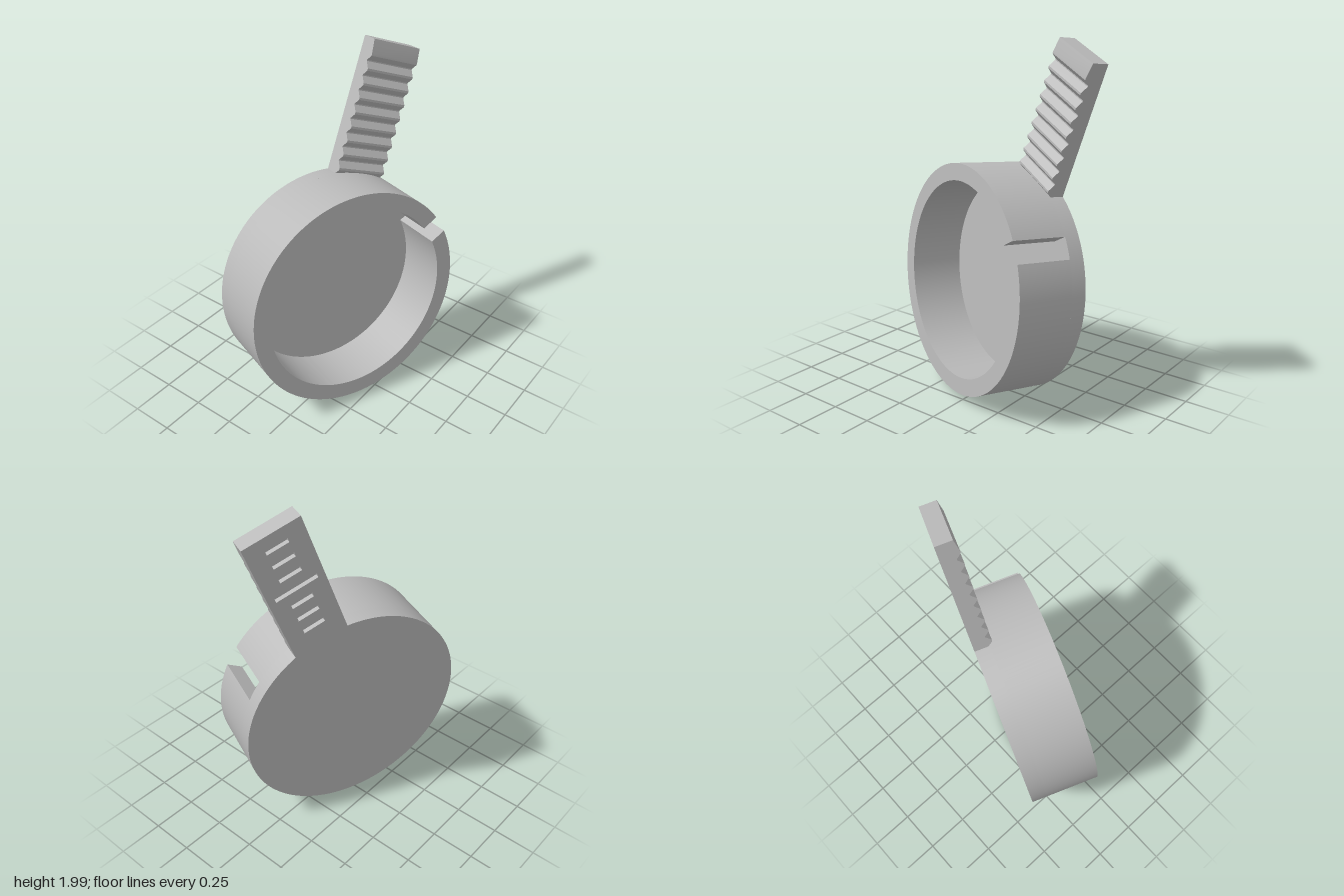
import * as THREE from 'three';
import { toCreasedNormals } from 'three/addons/utils/BufferGeometryUtils.js';

const R = 0.645, R_IN = 0.55, FLOOR = 0.085, DEPTH = 0.4;
const WIDTH = 0.312, TOP = 1.382;

const extrude = (shape, depth) => toCreasedNormals(
  new THREE.ExtrudeGeometry(shape, { depth, bevelEnabled: false, curveSegments: 96 }), 0.5);

export function createModel() {
  const grey = new THREE.MeshStandardMaterial({ color: 0xbababa });
  grey.name = 'grey';
  const model = new THREE.Group();
  const cup = new THREE.Group();
  cup.name = 'cupWithHandle';
  model.add(cup);

  const add = (name, geometry, z = 0) => {
    const mesh = new THREE.Mesh(geometry, grey);
    mesh.name = name;
    mesh.position.z = z;
    cup.add(mesh);
    return mesh;
  };

  // Closed round floor
  const disc = new THREE.Shape();
  disc.absarc(0, 0, R, 0, Math.PI * 2);
  add('cupFloor', extrude(disc, FLOOR));

  // Ring wall, cut by a parallel-sided notch down to the floor
  const notch = 0.862, half = 0.06, turn = Math.PI * 2;
  const a = Math.asin(half / R), b = Math.asin(half / R_IN);
  const ring = new THREE.Shape();
  ring.absarc(0, 0, R, notch + a, notch + turn - a, false);
  ring.absarc(0, 0, R_IN, notch + turn - b, notch + b, true);
  ring.closePath();
  add('cupWall', extrude(ring, DEPTH - FLOOR), FLOOR);

  // Handle body: side profile (thickness, length) with a row of teeth in front
  const slotDepth = 0.025, root = 0.6, tip = 0.106, valley = 0.078, pitch = 0.08;
  const side = new THREE.Shape();
  side.moveTo(slotDepth, root);
  side.lineTo(slotDepth, TOP);
  side.lineTo(0.092, TOP);
  for (let i = 0; i < 9; i++) {
    const y = 1.3 - i * pitch;
    side.lineTo(tip, y + 0.006);
    side.lineTo(tip, y - 0.006);
    side.lineTo(valley, y - 0.034);
    if (i < 8) side.lineTo(valley, y - 0.04);
  }
  side.lineTo(valley, root);
  side.closePath();
  const body = extrude(side, WIDTH);
  body.rotateY(-Math.PI / 2); // thickness to +z, extrusion to -x
  body.translate(WIDTH / 2, 0, 0);
  add('toothedHandle', body);

  // Handle back plate with seven cross slots, the middle one longer
  const rect = (path, x, y0, y1) => {
    path.moveTo(-x, y0);
    path.lineTo(x, y0);
    path.lineTo(x, y1);
    path.lineTo(-x, y1);
    path.closePath();
    return path;
  };
  const plate = rect(new THREE.Shape(), WIDTH / 2, root, TOP);
  for (let i = 0; i < 7; i++) {
    const y = 1.3 - i * 0.091;
    plate.holes.push(rect(new THREE.Path(), i === 3 ? 0.118 : 0.06, y - 0.013, y + 0.013));
  }
  add('slottedHandleBack', extrude(plate, slotDepth));

  // Tilt: local y runs along the handle, local z out of the cup's mouth
  const n = new THREE.Vector3(-0.367, 0.08, 0.925).normalize();
  const w = new THREE.Vector3(0.36, 0.93, 0.062).cross(n).normalize();
  const v = n.clone().cross(w);
  cup.quaternion.setFromRotationMatrix(new THREE.Matrix4().makeBasis(w, v, n));
  cup.position.set(0.055, 0.648, -0.188);
  return model;
}
